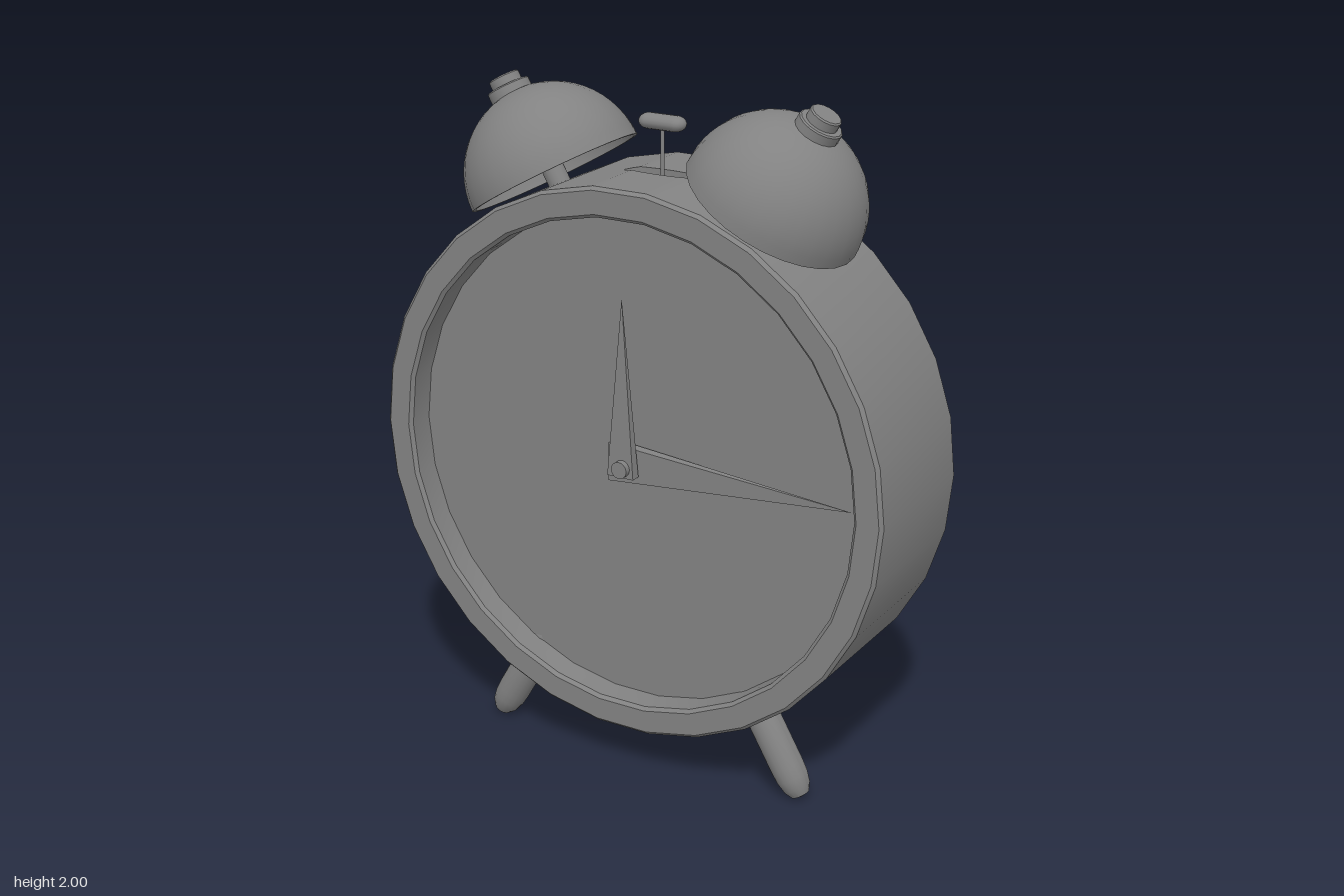
import * as THREE from 'three';
import { toCreasedNormals } from 'three/addons/utils/BufferGeometryUtils.js';

const material = new THREE.MeshStandardMaterial({ color: 0x828282 });
const thinMaterial = new THREE.MeshStandardMaterial({ color: 0x828282, side: THREE.DoubleSide });
const CENTRE_Y = 0.953, RADIUS = 0.815, SIDES = 30;

function add(parent, name, geometry, x = 0, y = 0, z = 0, mat = material) {
  const mesh = new THREE.Mesh(geometry, mat);
  mesh.name = name;
  mesh.position.set(x, y, z);
  parent.add(mesh);
  return mesh;
}

// Lathe from [radius, height] pairs, keeping sharp edges sharp
function lathe(pairs, segments, start = 0, length = Math.PI * 2) {
  const points = pairs.map(([r, h]) => new THREE.Vector2(r, h));
  return toCreasedNormals(new THREE.LatheGeometry(points, segments, start, length), 0.6);
}

// Top three facets of the case wall, with a boat-shaped slot sunk into them
function slottedPanel(halfDepth) {
  const apothem = RADIUS * Math.cos(Math.PI / SIDES), facet = 2 * Math.PI / SIDES;
  const steps = 24, ring = 6, positions = [], index = [];
  for (let i = 0; i <= steps; i++) {
    const degrees = -18 + i * 1.5;
    const x = RADIUS * Math.sin(THREE.MathUtils.degToRad(degrees));
    const edge = (apothem - Math.abs(x) * Math.sin(facet)) / Math.cos(facet);
    const y = Math.min(apothem, edge);
    const swell = Math.sqrt(Math.max(0, 1 - (degrees / 9) ** 2));
    const w = 0.03 * swell, floor = y - 0.045 * swell;
    positions.push(x, y, halfDepth, x, y, w, x, floor, w, x, floor, -w, x, y, -w, x, y, -halfDepth);
    if (i === steps) break;
    for (let j = 0; j < ring - 1; j++) {
      const a = i * ring + j, b = a + ring;
      index.push(a, b, a + 1, b, b + 1, a + 1);
    }
  }
  const geometry = new THREE.BufferGeometry();
  geometry.setAttribute('position', new THREE.Float32BufferAttribute(positions, 3));
  geometry.setIndex(index);
  return toCreasedNormals(geometry, 0.6);
}

// Bevelled drum with a recessed dial
function createCase() {
  const drum = new THREE.Group();
  drum.name = 'case';
  const wallEnd = 0.225, side = Math.PI / 2;
  const parts = {
    caseBack: lathe([[0, -0.235], [0.805, -0.235], [RADIUS, -wallEnd]], SIDES, side),
    caseWall: lathe([[RADIUS, -wallEnd], [RADIUS, wallEnd]], SIDES - 3, Math.PI * 1.1, Math.PI * 1.8),
    rimAndDial: lathe([
      [RADIUS, wallEnd], [0.805, 0.235], [0.738, 0.235], [0.728, 0.225], [0.728, 0.148], [0, 0.148],
    ], SIDES, side),
  };
  for (const [name, geometry] of Object.entries(parts)) add(drum, name, geometry.rotateX(side));
  add(drum, 'slottedTop', slottedPanel(wallEnd));
  drum.position.y = CENTRE_Y;
  return drum;
}

// Tapered four-sided hand pointing up, squared to the axes
function handGeometry(width, length, depth) {
  const geometry = new THREE.CylinderGeometry(0.003, Math.SQRT1_2, 1, 4, 1);
  geometry.rotateY(Math.PI / 4);
  geometry.translate(0, 0.5, 0);
  geometry.scale(width, length, depth);
  return toCreasedNormals(geometry, 0.3);
}

// Hollow bell with its stem and stepped knob; the local y axis runs through the stem
function createBell(name, knobX) {
  const bell = new THREE.Group();
  bell.name = name;
  const outer = 0.26, inner = 0.25, steps = 14, profile = [];
  for (let i = 0; i <= steps; i++) {
    const a = (1 - i / steps) * Math.PI / 2;
    profile.push([inner * Math.cos(a), inner * Math.sin(a)]);
  }
  for (let i = 0; i <= steps; i++) {
    const a = (i / steps) * Math.PI / 2;
    profile.push([outer * Math.cos(a), outer * Math.sin(a)]);
  }
  add(bell, 'bellShell', lathe(profile, 28), 0, 0, 0, thinMaterial);
  add(bell, 'bellStem', new THREE.CylinderGeometry(0.033, 0.033, 0.38, 16), 0, 0.06, 0);
  add(bell, 'bellKnob', lathe([
    [0, 0.235], [0.064, 0.235], [0.064, 0.278], [0.06, 0.282],
    [0.046, 0.282], [0.046, 0.307], [0.042, 0.311], [0, 0.311],
  ], 16), knobX);
  return bell;
}

export function createModel() {
  const clock = new THREE.Group();
  clock.name = 'alarmClock';
  clock.add(createCase());

  // Hands and centre pin
  add(clock, 'verticalHand', handGeometry(0.085, 0.522, 0.03), -0.006, 0.93, 0.208);
  const sideHand = add(clock, 'sideHand', handGeometry(0.115, 0.758, 0.035), -0.065, 0.956, 0.172);
  sideHand.rotation.z = -Math.PI / 2;
  const pin = add(clock, 'handPin', new THREE.CylinderGeometry(0.025, 0.025, 0.1, 16), 0, 0.958, 0.19);
  pin.rotation.x = Math.PI / 2;

  // Bells and legs, splayed by 30 degrees
  const legProfile = [
    [0, 0], [0.027, 0.008], [0.041, 0.032], [0.048, 0.065],
    [0.05, 0.1], [0.05, 0.34], [0.04, 0.375], [0, 0.39],
  ];
  for (const { s, label, bellX, knobX, legX } of [
    { s: 1, label: 'left', bellX: 0.346, knobX: 0, legX: 0.532 },
    { s: -1, label: 'right', bellX: -0.357, knobX: -0.018, legX: -0.519 },
  ]) {
    const bell = createBell(label + 'Bell', knobX);
    bell.position.set(bellX, 1.715, 0);
    bell.rotation.z = -s * Math.PI / 6;
    clock.add(bell);

    const leg = add(clock, label + 'Leg', lathe(legProfile, 18), legX, 0.007, 0.105);
    leg.rotation.z = s * Math.PI / 6;
  }

  // Hammer with a rounded bar head, rising from the slot
  const hammer = new THREE.Group();
  hammer.name = 'hammer';
  add(hammer, 'hammerRod', new THREE.CylinderGeometry(0.006, 0.006, 0.2, 10), 0, 1.81, 0);
  const headGeometry = new THREE.CapsuleGeometry(0.03, 0.085, 6, 16);
  headGeometry.rotateZ(Math.PI / 2);
  headGeometry.scale(1, 0.75, 1);
  add(hammer, 'hammerHead', headGeometry, 0, 1.904, 0);
  clock.add(hammer);

  return clock;
}
